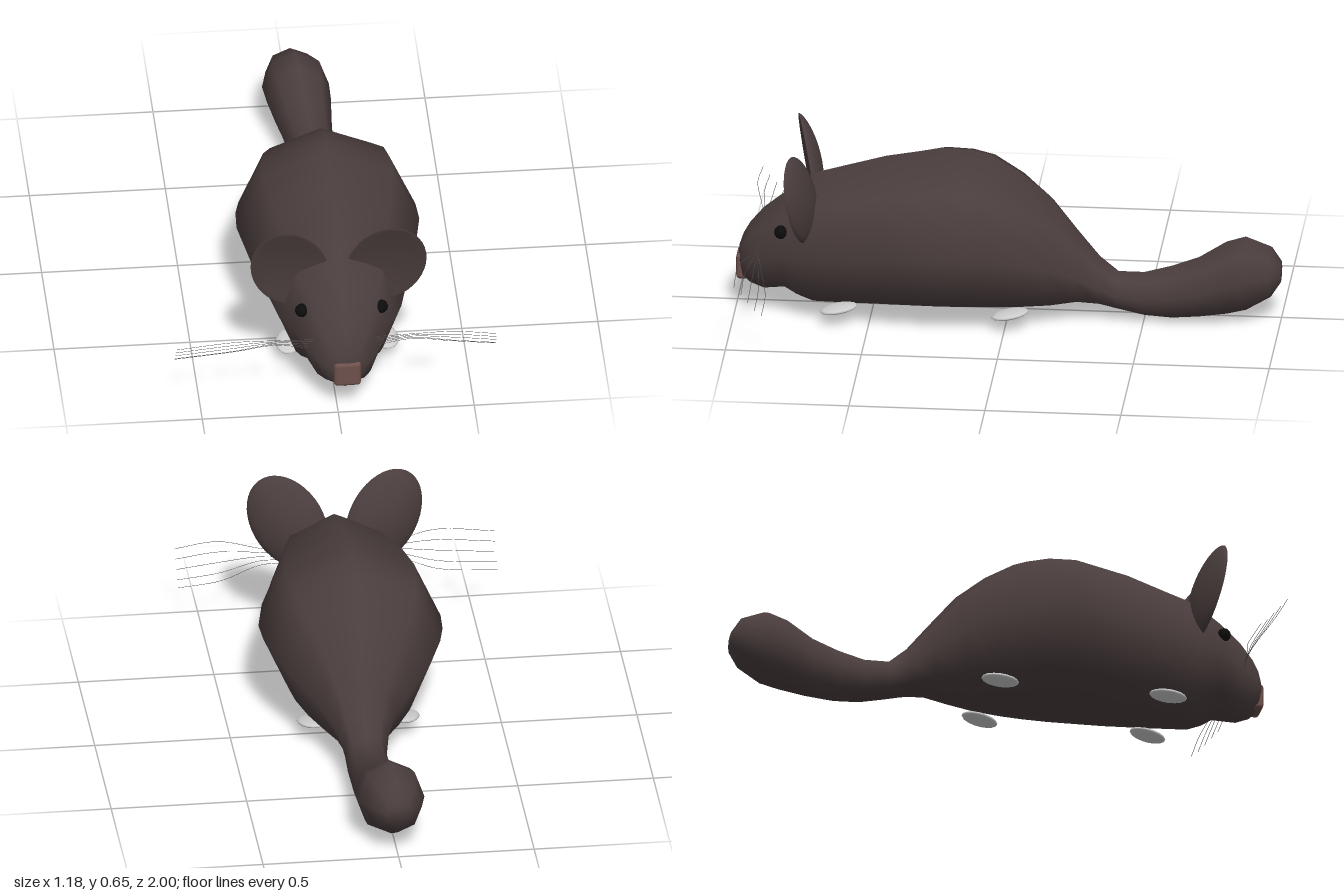
import * as THREE from 'three';
import { RoundedBoxGeometry } from 'three/addons/geometries/RoundedBoxGeometry.js';

const CX = 0.03; // body axis sits slightly off centre
const material = (color) => new THREE.MeshStandardMaterial({ color, roughness: 0.9 });

// Eight-sided smooth skin through sections [z, centreX, halfWidth, top, bottom], back to front
function loft(sections, sides = 8) {
  const pos = [], index = [];
  sections.forEach(([z, cx, w, top, bottom], i) => {
    for (let j = 0; j < sides; j++) {
      const a = (j / sides) * Math.PI * 2;
      pos.push(cx + w * Math.sin(a), (top + bottom) / 2 + ((top - bottom) / 2) * Math.cos(a), z);
      if (i === sections.length - 1) continue;
      const p = i * sides + j, q = i * sides + ((j + 1) % sides);
      index.push(p, p + sides, q, q, p + sides, q + sides);
    }
  });
  const g = new THREE.BufferGeometry();
  g.setAttribute('position', new THREE.Float32BufferAttribute(pos, 3));
  g.setIndex(index);
  g.computeVertexNormals();
  return g;
}

// Flattened ellipsoid bent into a shallow cup that opens forward
function earGeometry() {
  const g = new THREE.SphereGeometry(1, 32, 20);
  const p = g.attributes.position;
  for (let i = 0; i < p.count; i++) {
    const x = p.getX(i), y = p.getY(i), z = p.getZ(i);
    p.setXYZ(i, x * 0.135, y * 0.19, z * (z > 0 ? 0.008 : 0.03) + 0.025 * (x * x + y * y) - 0.012);
  }
  g.computeVertexNormals();
  return g;
}

export function createModel() {
  const model = new THREE.Group();
  const fur = material(0x4a3d3d);
  const black = material(0x0c0c0c);
  const pink = material(0x6e504b);
  const pale = material(0xcccccc);
  const whiskerMat = material(0x555050);

  const add = (name, geometry, mat, x = 0, y = 0, z = 0) => {
    const mesh = new THREE.Mesh(geometry, mat);
    mesh.name = name;
    mesh.position.set(x, y, z);
    model.add(mesh);
    return mesh;
  };

  // Tail, body and head as one skin
  add('body', loft([
    [-1.0, 0, 0, 0.18, 0.18],
    [-0.998, 0, 0.05, 0.22, 0.14],
    [-0.96, 0, 0.09, 0.28, 0.08],
    [-0.87, 0.012, 0.123, 0.32, 0.03],
    [-0.8, 0.018, 0.118, 0.3, 0.015],
    [-0.7, 0.03, 0.1, 0.24, 0.005],
    [-0.6, 0.038, 0.088, 0.205, 0.0],
    [-0.5, 0.046, 0.08, 0.18, 0.01],
    [-0.4, 0.048, 0.077, 0.18, 0.035],
    [-0.33, 0.046, 0.09, 0.24, 0.048],
    [-0.25, 0.045, 0.125, 0.34, 0.052],
    [-0.15, 0.035, 0.195, 0.46, 0.03],
    [-0.04, CX, 0.265, 0.55, 0.018],
    [0.07, CX, 0.313, 0.615, 0.015],
    [0.15, CX, 0.331, 0.632, 0.015],
    [0.25, CX, 0.336, 0.635, 0.015],
    [0.45, CX, 0.3, 0.598, 0.012],
    [0.6, CX, 0.258, 0.555, 0.012],
    [0.72, CX, 0.228, 0.52, 0.015],
    [0.77, CX, 0.205, 0.482, 0.035],
    [0.82, CX, 0.18, 0.445, 0.068],
    [0.9, CX, 0.138, 0.38, 0.06],
    [0.95, CX, 0.102, 0.32, 0.08],
    [0.975, CX, 0.076, 0.275, 0.105],
    [0.99, CX, 0.045, 0.23, 0.14],
    [0.994, CX, 0, 0.18, 0.18],
  ]), fur);

  // Nose pad
  add('nose', new RoundedBoxGeometry(0.1, 0.1, 0.044, 3, 0.015), pink, 0.035, 0.16, 0.977);

  const ear = earGeometry();
  const eye = new THREE.SphereGeometry(0.025, 16, 12);
  const foot = new THREE.SphereGeometry(1, 16, 10).scale(0.05, 0.014, 0.07);

  for (const s of [1, -1]) {
    const side = s > 0 ? 'left' : 'right';

    // Ears lean outward, outer edge forward
    const e = add(side + 'Ear', ear, fur, s > 0 ? 0.2 : -0.16, 0.48, 0.745);
    e.rotation.set(0.14, -s * 0.2, -s * 0.52, 'YXZ');

    // Eyes
    add(side + 'Eye', eye, black, 0.028 + s * 0.146, 0.34, 0.825);

    // Feet
    for (const [end, z] of [['Front', 0.61], ['Back', -0.02]]) {
      const f = add(side + end + 'Foot', foot, pale, CX + s * 0.175, 0.06, z);
      f.rotation.set(0.16, s * 0.25, 0);
    }

    // Whiskers fan out from the muzzle
    [0.175, 0.195, 0.225, 0.255, 0.285].forEach((y, i) => {
      const z = 0.86 + i * 0.025;
      const curve = new THREE.CatmullRomCurve3([
        new THREE.Vector3(CX + s * 0.11, 0.225 + i * 0.01, 0.91),
        new THREE.Vector3(CX + s * 0.25, 0.235 + i * 0.012, 0.91 + (i - 2) * 0.01),
        new THREE.Vector3(CX + s * 0.4, y + 0.02, z),
        new THREE.Vector3(s * 0.59, y, z),
      ]);
      add(side + 'Whisker' + (i + 1), new THREE.TubeGeometry(curve, 16, 0.0009, 4), whiskerMat);
    });
  }
  return model;
}
